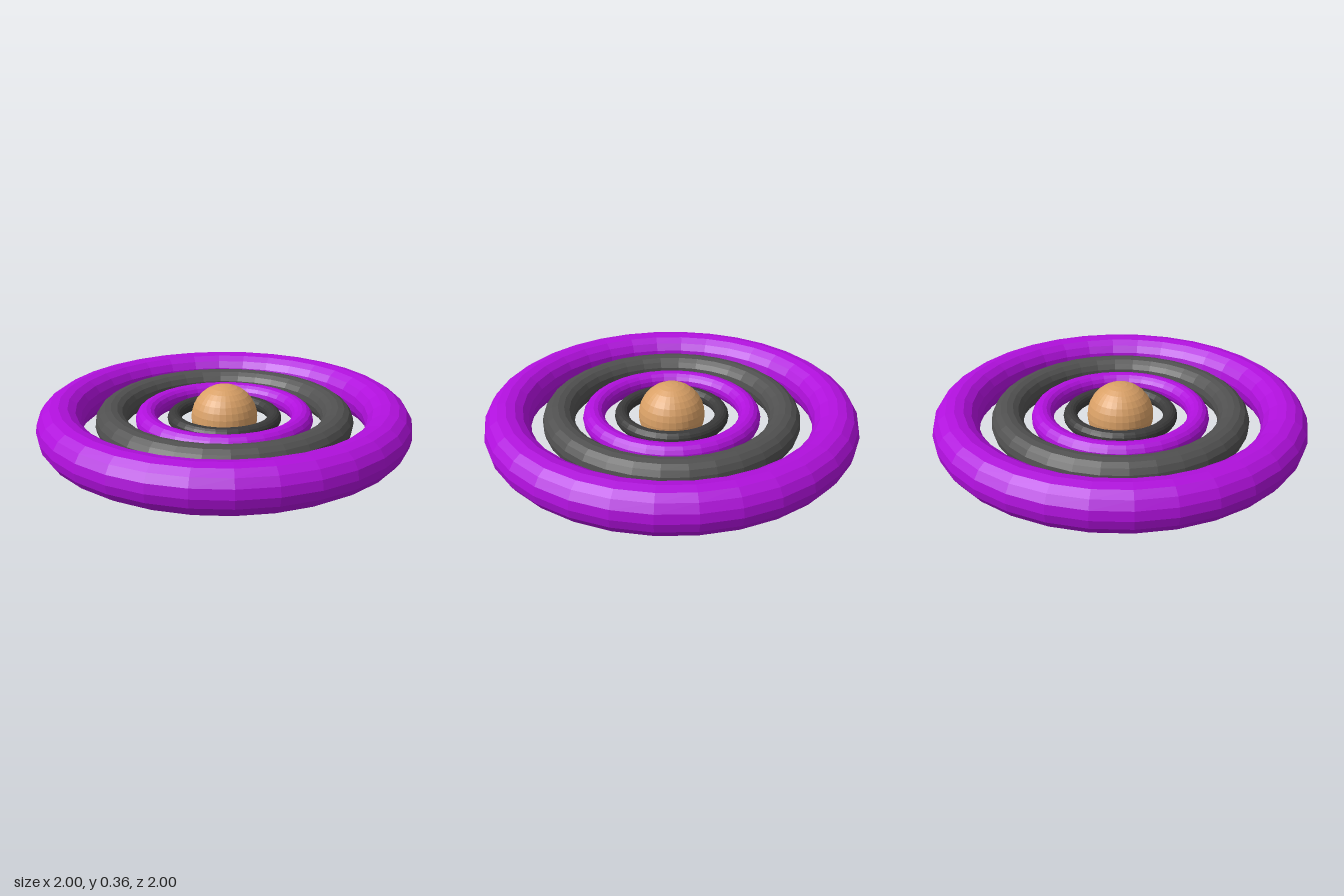
import * as THREE from 'three';

const CENTRE_Y = 0.18;

function addPart(group, name, geometry, color) {
  const material = new THREE.MeshStandardMaterial({ color, flatShading: true });
  const mesh = new THREE.Mesh(geometry, material);
  mesh.name = name;
  mesh.position.y = CENTRE_Y;
  group.add(mesh);
}

export function createModel() {
  const group = new THREE.Group();
  group.name = 'ringedSphere';

  // Central ball
  addPart(group, 'centreSphere', new THREE.SphereGeometry(0.18, 32, 16), 0xd9a066);

  // Concentric flat-lying rings: name, ring radius, tube radius, color
  const rings = [
    ['innermostRing', 0.272, 0.038, 0x3a3a3a],
    ['innerRing', 0.423, 0.059, 0xb010dc],
    ['middleRing', 0.611, 0.085, 0x505050],
    ['outerRing', 0.879, 0.121, 0xb010dc],
  ];
  for (const [name, radius, tube, color] of rings) {
    const ring = new THREE.TorusGeometry(radius, tube, 16, 32).rotateX(Math.PI / 2);
    addPart(group, name, ring, color);
  }
  return group;
}
